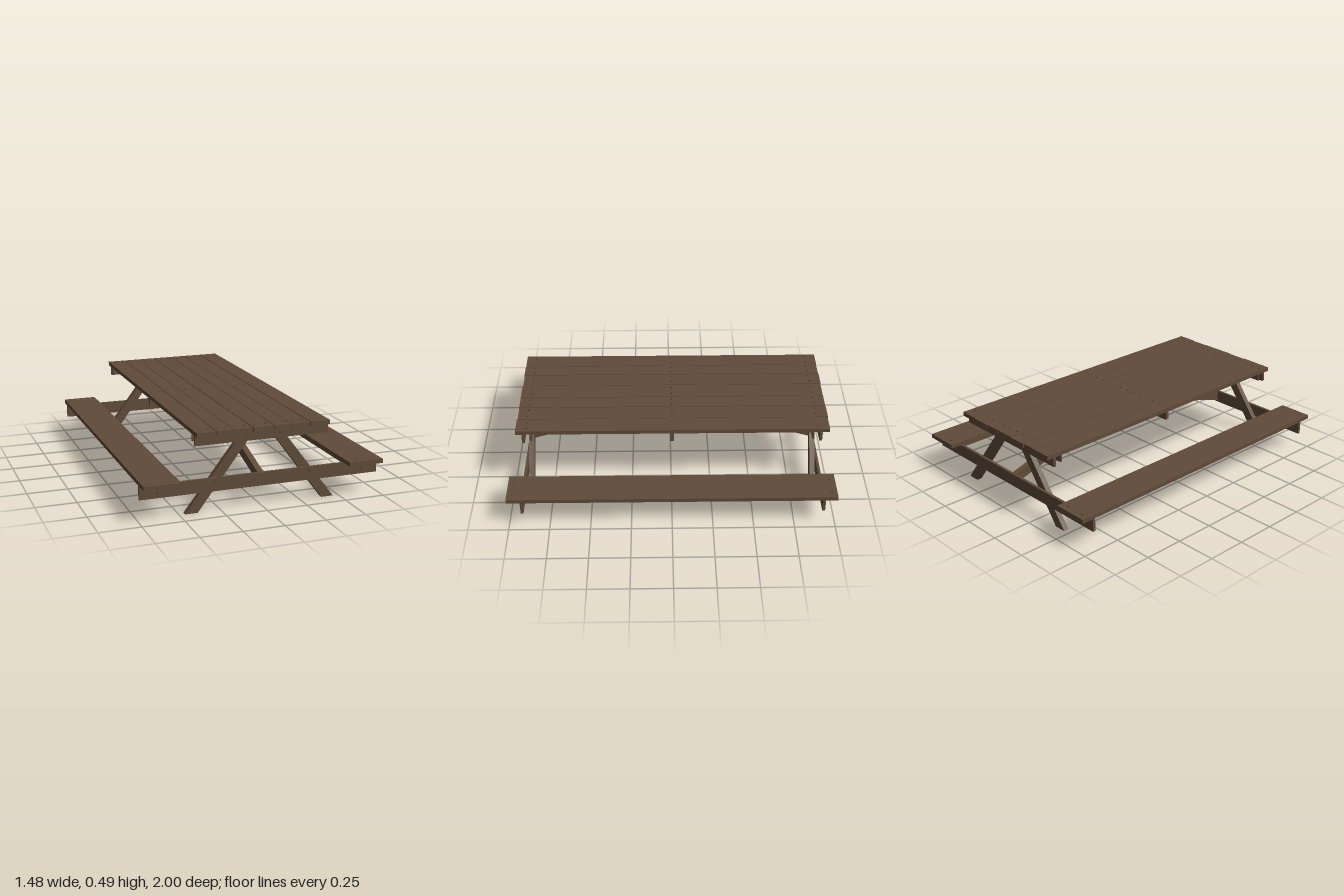
import * as THREE from 'three';

export function createModel() {
  const group = new THREE.Group();
  const wood = new THREE.MeshStandardMaterial({ color: 0x5f4b39 });
  const screwMetal = new THREE.MeshStandardMaterial({ color: 0x2e2620 });
  wood.name = 'brown wood';
  screwMetal.name = 'dark screws';

  const add = (name, geometry, material = wood) => {
    const mesh = new THREE.Mesh(geometry, material);
    mesh.name = name;
    group.add(mesh);
    return mesh;
  };

  // Board given by its two extents on each axis
  const board = (name, x0, x1, y0, y1, z0, z1) =>
    add(name, new THREE.BoxGeometry(x1 - x0, y1 - y0, Math.abs(z1 - z0)))
      .position.set((x0 + x1) / 2, (y0 + y1) / 2, (z0 + z1) / 2);

  // Slanted board: outline in a plane, extruded from 0 to depth
  const slanted = (points, depth) =>
    new THREE.ExtrudeGeometry(
      new THREE.Shape(points.map(([x, y]) => new THREE.Vector2(x, y))),
      { depth, bevelEnabled: false });

  // Screw head, facing front or back (dir = 1 or -1), or up (dir = 0)
  const headGeometry = new THREE.CylinderGeometry(0.004, 0.004, 0.003, 8);
  const screw = (x, y, z, dir) => {
    const mesh = add('screw', headGeometry, screwMetal);
    mesh.position.set(x, y, z);
    if (dir) mesh.rotation.x = Math.PI / 2;
  };

  // Table top: seven planks of slightly uneven width and length
  const edges = [-0.415, -0.295, -0.195, -0.075, 0.055, 0.16, 0.28, 0.405];
  for (let i = 0; i < 7; i++) {
    const shift = 0.002 * Math.sin(i * 2.3);
    board('tablePlank', edges[i] + 0.002, edges[i + 1] - 0.002,
      0.465 + shift / 4, 0.49 + shift / 4, -0.972 + shift, 0.953 + shift);
    for (const z of [-0.9, -0.005, 0.89]) {
      for (const t of [0.25, 0.75]) {
        screw(THREE.MathUtils.lerp(edges[i], edges[i + 1], t), 0.49, z, 0);
      }
    }
  }

  // Benches with a stiffening rail under the middle of each seat
  for (const s of [-1, 1]) {
    board('seat', s * 0.629 - 0.109, s * 0.629 + 0.109, 0.205, 0.23, -1, 1);
    board('seatRail', s * 0.63 - 0.013, s * 0.63 + 0.013, 0.13, 0.205, -0.909, 0.899);
    for (const z of [-0.965, 0.965]) {
      for (const dx of [-0.06, 0.06]) screw(s * 0.63 + dx, 0.23, z, 0);
    }
  }

  // End frames, mirrored about the middle of the table
  const middle = -0.005;
  for (const s of [-1, 1]) {
    const at = (z) => middle + s * z;

    // Splayed legs
    for (const side of [-1, 1]) {
      const outline = [[0.39, 0], [0.465, 0], [0.11, 0.465], [0.04, 0.465]]
        .map(([x, y]) => [x * side, y]);
      add('leg', slanted(outline, 0.033)).position.z = s > 0 ? at(0.872) : at(0.905);
      screw(side * 0.295, 0.18, at(0.922), s);
      screw(side * 0.105, 0.435, at(0.922), s);
      for (const y of [0.155, 0.182]) screw(side * 0.635, y, at(0.922), s);
    }

    // Seat beam and the cleats that carry the top
    board('seatBeam', -0.74, 0.74, 0.125, 0.205, at(0.905), at(0.922));
    board('outerCleat', -0.41, 0.41, 0.405, 0.465, at(0.905), at(0.922));
    board('innerCleat', -0.41, 0.41, 0.42, 0.465, at(0.861), at(0.872));

    // Long brace from the centre cleat down to the seat beam
    const reach = 0.905;
    const brace = slanted(
      [[0, 0.405], [reach, 0.135], [reach, 0.195], [0, 0.465]], 0.036);
    brace.translate(0, 0, -0.018).rotateY(-s * Math.PI / 2);
    add('brace', brace).position.z = middle;
  }

  // Centre cleat under the top
  board('centreCleat', -0.4, 0.4, 0.405, 0.465, -0.015, 0.008);

  return group;
}
